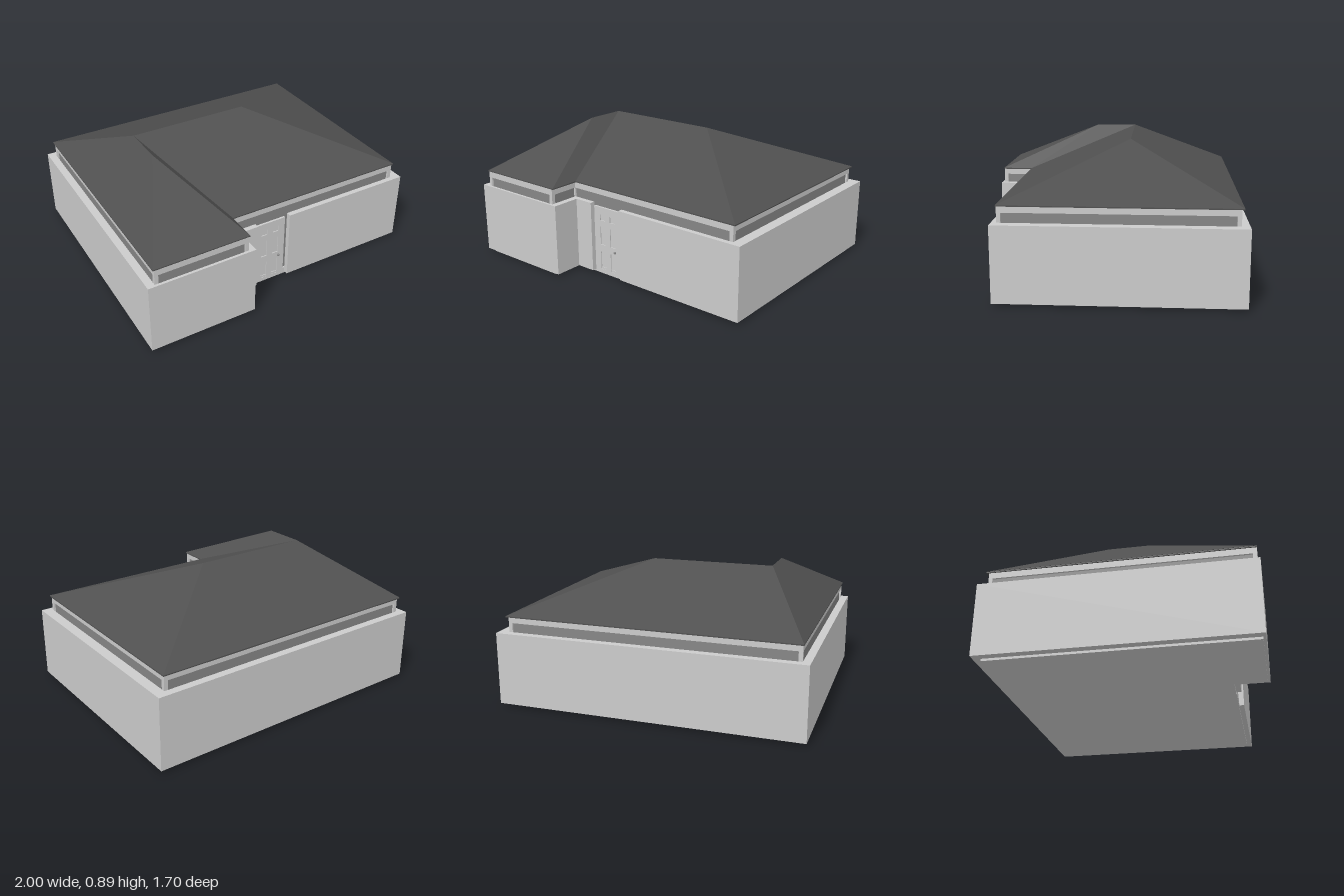
import * as THREE from 'three';

const grey = new THREE.MeshStandardMaterial({ color: 0xcccccc, flatShading: true });
const infillGrey = new THREE.MeshStandardMaterial({ color: 0x868686, flatShading: true });
const roofGrey = new THREE.MeshStandardMaterial({ color: 0x505050, flatShading: true, side: THREE.DoubleSide });

// L-shaped floor outline of [x, z] corners, shrunk by d
function outline({ left, right, back, front, wingX, mainZ }, d = 0) {
  return [
    [left + d, back + d], [right - d, back + d], [right - d, mainZ - d],
    [wingX - d, mainZ - d], [wingX - d, front - d], [left + d, front - d],
  ];
}

// Upright prism over a plan outline, optionally hollow
function prism(plan, y0, y1, hole) {
  const toVec = ([x, z]) => new THREE.Vector2(x, -z);
  const shape = new THREE.Shape(plan.map(toVec));
  if (hole) shape.holes.push(new THREE.Path(hole.map(toVec)));
  return new THREE.ExtrudeGeometry(shape, { depth: y1 - y0, bevelEnabled: false })
    .rotateX(-Math.PI / 2).translate(0, y0, 0);
}

// Flat polygons triangulated as fans, all turned to face upward
function slopes(faces) {
  const pos = [];
  for (const f of faces) {
    const p = f.map((c) => new THREE.Vector3(...c));
    for (let i = 1; i < p.length - 1; i++) {
      const tri = [p[0], p[i], p[i + 1]];
      const n = tri[1].clone().sub(tri[0]).cross(tri[2].clone().sub(tri[0]));
      if (n.y < 0) tri.reverse();
      tri.forEach((v) => pos.push(v.x, v.y, v.z));
    }
  }
  const g = new THREE.BufferGeometry();
  g.setAttribute('position', new THREE.Float32BufferAttribute(pos, 3));
  g.computeVertexNormals();
  return g;
}

function add(parent, name, geometry, material = grey) {
  const mesh = new THREE.Mesh(geometry, material);
  mesh.name = name;
  parent.add(mesh);
  return mesh;
}

// Six-panel door with frame openings, sunk panels and a knob
function createDoor() {
  const door = new THREE.Group();
  door.name = 'door';
  const rect = (T, x0, x1, y0, y1) => new T([[x0, y0], [x1, y0], [x1, y1], [x0, y1]]
    .map(([x, y]) => new THREE.Vector2(x, y)));
  const leaf = rect(THREE.Shape, -0.155, 0.07, 0.005, 0.465);
  for (const x of [-0.105, -0.02]) {
    for (const [y0, y1] of [[0.03, 0.155], [0.205, 0.33], [0.375, 0.415]]) {
      leaf.holes.push(rect(THREE.Path, x, x + 0.043, y0, y1));
      add(door, 'doorPanel', new THREE.BoxGeometry(0.043, y1 - y0, 0.016)
        .translate(x + 0.0215, (y0 + y1) / 2, 0.61));
    }
  }
  add(door, 'doorLeaf', new THREE.ExtrudeGeometry(leaf, { depth: 0.024, bevelEnabled: false })
    .translate(0, 0, 0.6));
  add(door, 'knobStem', new THREE.CylinderGeometry(0.004, 0.004, 0.012, 10)
    .rotateX(Math.PI / 2).translate(0.026, 0.18, 0.626), infillGrey);
  add(door, 'knob', new THREE.SphereGeometry(0.009, 12, 8)
    .scale(1, 1, 0.7).translate(0.026, 0.18, 0.632), infillGrey);
  return door;
}

export function createModel() {
  const house = new THREE.Group();
  house.name = 'house';

  const frame = { left: -0.95, right: 0.933, back: -0.8, front: 0.828, wingX: -0.327, mainZ: 0.622 };
  const eaves = { left: -0.957, right: 0.945, back: -0.815, front: 0.828, wingX: -0.318, mainZ: 0.624 };
  const veneer = { left: -1, right: 1, back: -0.85, front: 0.845, wingX: -0.285, mainZ: 0.655 };

  // Floor and recessed wall infill
  add(house, 'floorSlab', prism(outline(frame), 0, 0.012));
  add(house, 'wallInfill', prism(outline(frame, 0.012), 0.012, 0.588), infillGrey);

  // Wall frame: bottom and top rails, corner posts
  const inner = outline(frame, 0.025);
  add(house, 'bottomRail', prism(outline(frame), 0.012, 0.045, inner));
  add(house, 'topRail', prism(outline(frame), 0.55, 0.59, inner));
  for (const [x, z] of outline(frame, 0.0125)) {
    add(house, 'cornerPost', new THREE.BoxGeometry(0.025, 0.505, 0.025).translate(x, 0.2975, z));
  }

  // Outer wall cladding, open at the doorway
  const ring = (o) => {
    const [bl, br, fr, nook, wing, fl] = outline(o);
    return [[0.085, o.mainZ], fr, br, bl, fl, wing, nook, [-0.155, o.mainZ]];
  };
  add(house, 'outerWall', prism([...ring(veneer), ...ring(frame).reverse()], 0.015, 0.49));

  house.add(createDoor());

  // Hipped roof over the main block and the front wing
  const [bl, br, fr, nook, wing, fl] = outline(eaves).map(([x, z]) => [x, 0.597, z]);
  const ridgeCorner = [-0.62, 0.89, -0.13];
  const ridgeRight = [0.19, 0.89, -0.13];
  const ridgeFront = [-0.62, 0.89, 0.15];
  add(house, 'roof', slopes([
    [bl, br, ridgeRight, ridgeCorner],
    [br, fr, ridgeRight],
    [fr, nook, ridgeCorner, ridgeRight],
    [nook, wing, ridgeFront, ridgeCorner],
    [wing, fl, ridgeFront],
    [fl, bl, ridgeCorner, ridgeFront],
  ]), roofGrey);
  add(house, 'eaves', prism(outline(eaves), 0.589, 0.596), roofGrey);

  return house;
}
